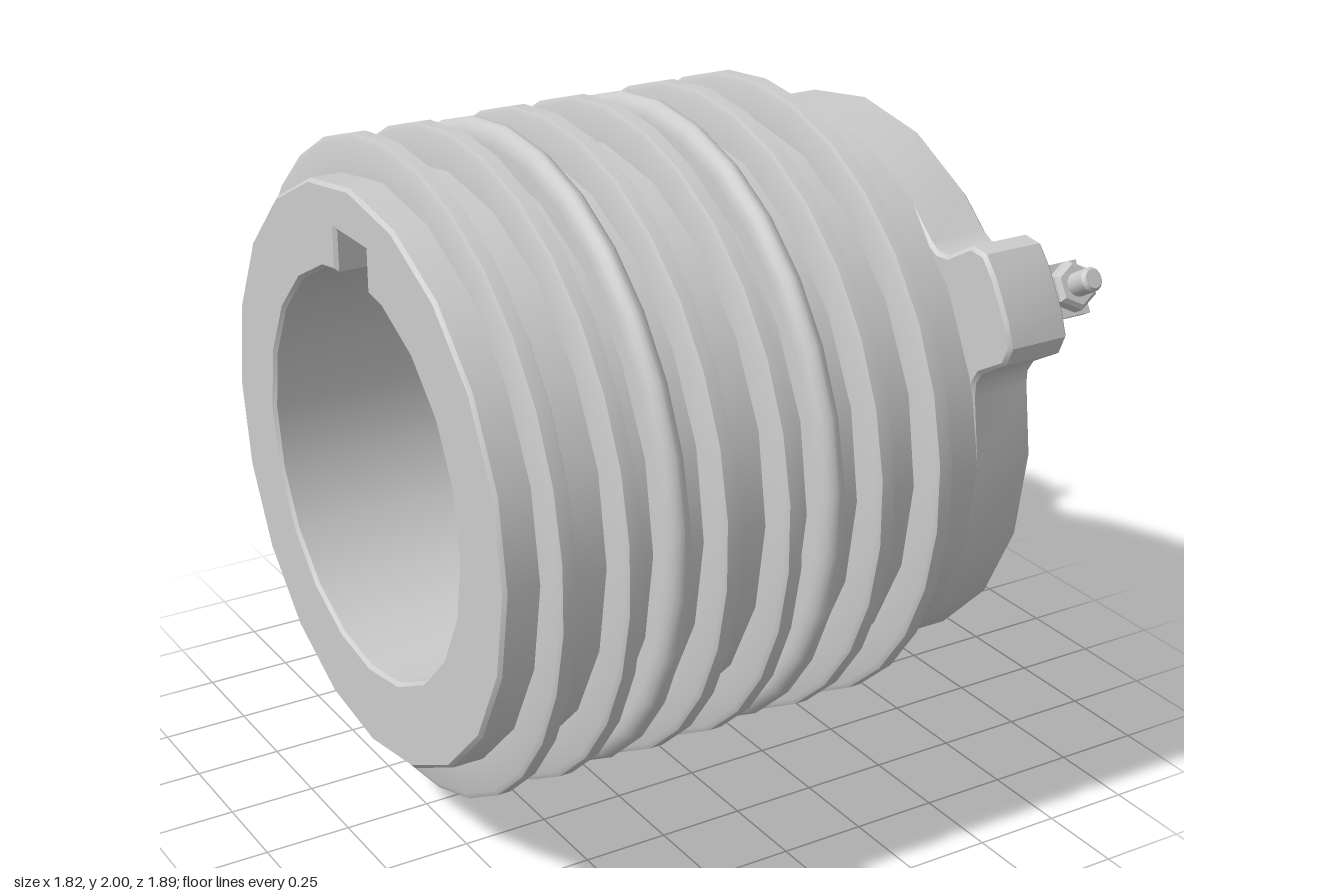
import * as THREE from 'three';
import { toCreasedNormals } from 'three/addons/utils/BufferGeometryUtils.js';

const material = new THREE.MeshStandardMaterial({ color: 0xcccccc });
const flatMaterial = new THREE.MeshStandardMaterial({ color: 0xcccccc, flatShading: true });
const AXIS_Y = 1.075, BODY_R = 0.82, BORE_R = 0.577, RING_R = 0.925;
const rad = THREE.MathUtils.degToRad;

function add(parent, name, geometry, mat = material) {
  const mesh = new THREE.Mesh(geometry, mat);
  mesh.name = name;
  parent.add(mesh);
  return mesh;
}

const polar = (r, deg) => new THREE.Vector2(r * Math.cos(rad(deg)), r * Math.sin(rad(deg)));

// Faceted bore with a rectangular keyway at the top
function borePath() {
  const pts = [];
  for (let a = 108; a <= 432; a += 18) pts.push(polar(BORE_R, a));
  pts.push(new THREE.Vector2(0.095, 0.562), new THREE.Vector2(0.095, 0.68),
    new THREE.Vector2(-0.095, 0.68), new THREE.Vector2(-0.095, 0.562));
  return new THREE.Path(pts);
}

// Outer outline of the collar: the body circle with three lugs
function collarPoints() {
  const lug = [[-0.22, 0.788], [-0.185, 0.81], [-0.165, 0.85], [-0.165, 0.965], [-0.13, 1.012],
    [-0.06, 1.025]];
  const profile = [...lug, ...lug.map(([t, r]) => [-t, r]).reverse()];
  const lugAngles = [30, 150, 270];
  const entries = [];
  for (let a = 0; a < 360; a += 18) {
    if (lugAngles.every(l => Math.abs(l - a) > 16)) entries.push({ a, pts: [polar(BODY_R, a)] });
  }
  for (const a of lugAngles) {
    const c = Math.cos(rad(a)), s = Math.sin(rad(a));
    entries.push({ a, pts: profile.map(([t, r]) => new THREE.Vector2(r * c - t * s, r * s + t * c)) });
  }
  return entries.sort((p, q) => p.a - q.a).flatMap(e => e.pts);
}

// Extrude an outline with the bore cut out, along x from x0 to x1
function boredExtrusion(points, x0, x1) {
  const b = 0.01;
  const shape = new THREE.Shape(points);
  shape.holes.push(borePath());
  const g = new THREE.ExtrudeGeometry(shape, {
    depth: x1 - x0 - 2 * b, bevelThickness: b, bevelSize: b, bevelOffset: -b, bevelSegments: 1,
  });
  g.translate(0, 0, x0 + b).rotateY(Math.PI / 2);
  return toCreasedNormals(g, rad(35));
}

// Ring around the body, square edged or rounded
function ringGeometry(x0, x1, rounded) {
  const w = x1 - x0, c = 0.008;
  const pts = [new THREE.Vector2(0.78, x0)];
  if (rounded) {
    for (let i = 0; i <= 8; i++) {
      const t = Math.PI * i / 8;
      pts.push(new THREE.Vector2(0.865 + 0.052 * Math.sin(t), (x0 + x1) / 2 - w / 2 * Math.cos(t)));
    }
  } else {
    pts.push(new THREE.Vector2(RING_R - 0.015, x0), new THREE.Vector2(RING_R, x0 + c),
      new THREE.Vector2(RING_R, x1 - c), new THREE.Vector2(RING_R - 0.015, x1));
  }
  pts.push(new THREE.Vector2(0.78, x1));
  const g = new THREE.LatheGeometry(pts, 30, Math.PI / 2);
  g.rotateZ(-Math.PI / 2);
  return toCreasedNormals(g, rad(32));
}

// Chamfered hexagon standing on y0
function hexGeometry(y0, y1) {
  const c = 0.012, r = 0.069;
  return new THREE.LatheGeometry([[0, y0], [r - c, y0], [r, y0 + c], [r, y1 - c], [r - c, y1], [0, y1]]
    .map(([x, y]) => new THREE.Vector2(x, y)), 6);
}

// Bracket plate with bolt and nut, pointing outward along +y
function makeFastener() {
  const group = new THREE.Group();
  group.name = 'fastener';
  add(group, 'bracketPlate', new THREE.BoxGeometry(0.18, 0.035, 0.15).translate(0.82, 0.897, 0));
  const bolt = new THREE.Group();
  bolt.name = 'bolt';
  bolt.position.x = 0.825;
  group.add(bolt);
  add(bolt, 'boltHead', hexGeometry(0.82, 0.88), flatMaterial);
  add(bolt, 'washer', new THREE.CylinderGeometry(0.042, 0.042, 0.04, 16).translate(0, 0.931, 0));
  add(bolt, 'nut', hexGeometry(0.945, 1.003), flatMaterial);
  add(bolt, 'boltShank', toCreasedNormals(new THREE.LatheGeometry(
    [[0.034, 0.87], [0.034, 1.065], [0.026, 1.075], [0, 1.075]].map(([x, y]) => new THREE.Vector2(x, y)), 16), rad(35)));
  return group;
}

export function createModel() {
  const model = new THREE.Group();
  model.name = 'ribbedSleeve';
  model.position.y = AXIS_Y;

  // Main sleeve and lugged end collar
  const circle = [];
  for (let a = 0; a < 360; a += 18) circle.push(polar(BODY_R, a));
  add(model, 'sleeve', boredExtrusion(circle, -0.91, 0.57));
  add(model, 'luggedCollar', boredExtrusion(collarPoints(), 0.545, 0.74));

  // Rings along the sleeve
  const squareRings = [-0.808, -0.617, -0.328, -0.138, 0.153, 0.34];
  for (const x of squareRings) add(model, 'squareRing', ringGeometry(x, x + 0.055, false));
  for (const x of [-0.48, -0.008]) add(model, 'roundedRing', ringGeometry(x, x + 0.075, true));

  // Three fasteners, one on each lug
  for (const angle of [Math.PI, Math.PI / 3, -Math.PI / 3]) {
    const fastener = makeFastener();
    fastener.rotation.x = angle;
    model.add(fastener);
  }

  const root = new THREE.Group();
  root.add(model);
  return root;
}
